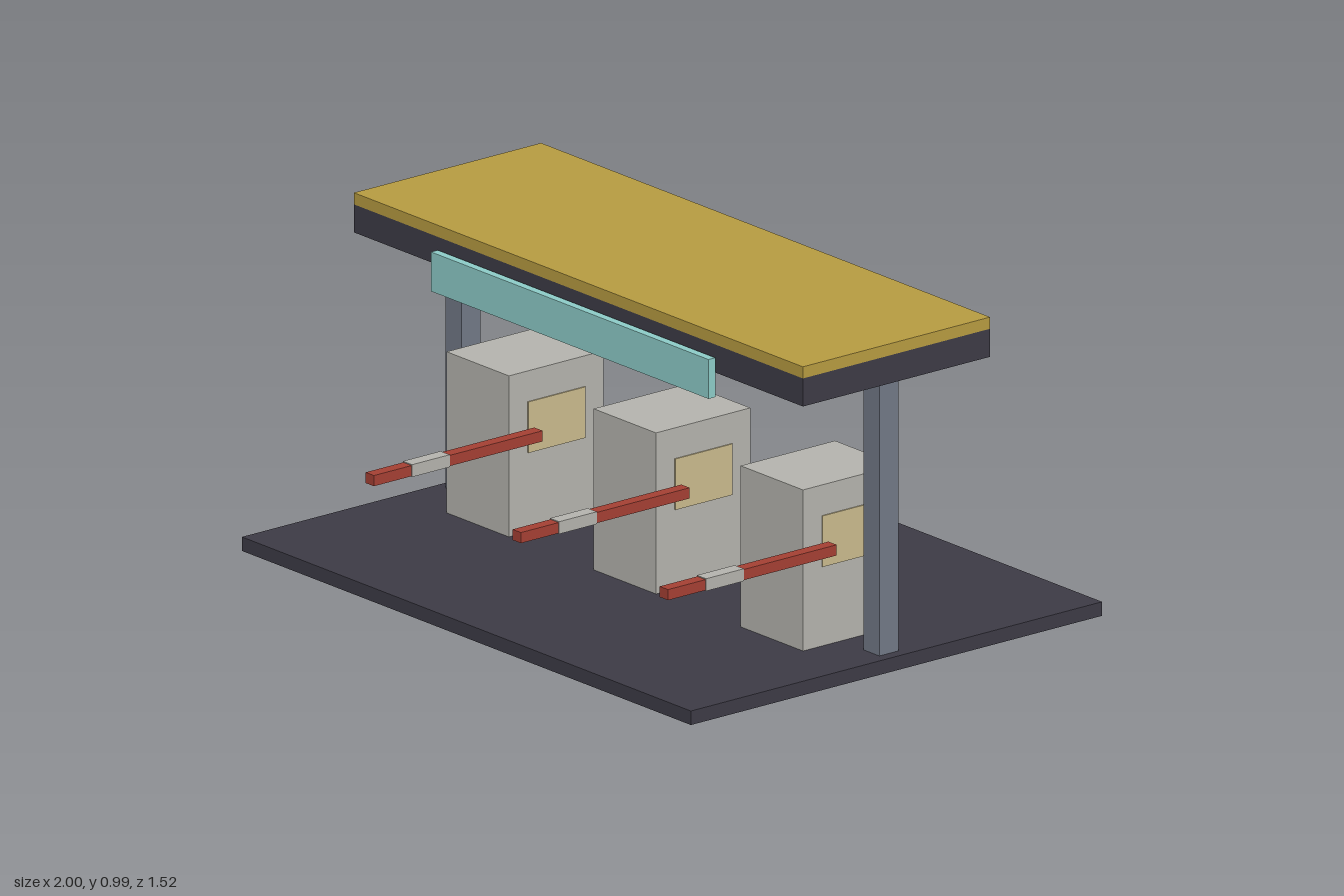
import * as THREE from 'three';

const material = (name, color) => {
  const m = new THREE.MeshStandardMaterial({ color });
  m.name = name;
  return m;
};

export function createModel() {
  const charcoal = material('charcoal', 0x3c3a45);
  const gold = material('gold', 0xb59a40);
  const steel = material('steel', 0x707785);
  const teal = material('teal', 0x8ccac6);
  const concrete = material('concrete', 0xb3b2ac);
  const glow = material('window tan', 0xc8b98c);
  const red = material('red', 0xa33f33);

  const model = new THREE.Group();
  model.name = 'tollPlaza';

  // Box given by its centre x, and its y and z ranges
  const box = (parent, name, mat, x, width, [y0, y1], [z0, z1]) => {
    const mesh = new THREE.Mesh(new THREE.BoxGeometry(width, y1 - y0, z1 - z0), mat);
    mesh.position.set(x, (y0 + y1) / 2, (z0 + z1) / 2);
    mesh.name = name;
    parent.add(mesh);
  };

  // Ground slab, canopy and sign board
  box(model, 'groundSlab', charcoal, 0, 2, [0, 0.042], [-0.758, 0.758]);
  box(model, 'canopy', charcoal, 0, 2, [0.866, 0.95], [-0.345, 0.345]);
  box(model, 'canopyTop', gold, 0, 2, [0.95, 0.985], [-0.345, 0.345]);
  box(model, 'signBoard', teal, 0, 1.236, [0.796, 0.914], [0.352, 0.377]);

  // Canopy posts
  for (const side of [-1, 1]) {
    box(model, 'post', steel, side * 0.931, 0.07, [0.042, 0.866], [-0.035, 0.035]);
  }

  // Booths with a window on each side and a barrier arm to the left
  for (const x of [-0.655, 0, 0.655]) {
    const lane = new THREE.Group();
    lane.name = 'lane';
    lane.position.x = x;
    box(lane, 'booth', concrete, 0, 0.278, [0.042, 0.525], [-0.174, 0.174]);
    for (const side of [-1, 1]) {
      box(lane, 'window', glow, side * 0.1405, 0.005, [0.28, 0.433], [-0.105, 0.105]);
    }
    box(lane, 'barrierArm', red, 0.187, 0.037, [0.331, 0.363], [0.105, 0.727]);
    box(lane, 'barrierBand', concrete, 0.187, 0.041, [0.329, 0.366], [0.449, 0.588]);
    model.add(lane);
  }

  return model;
}
